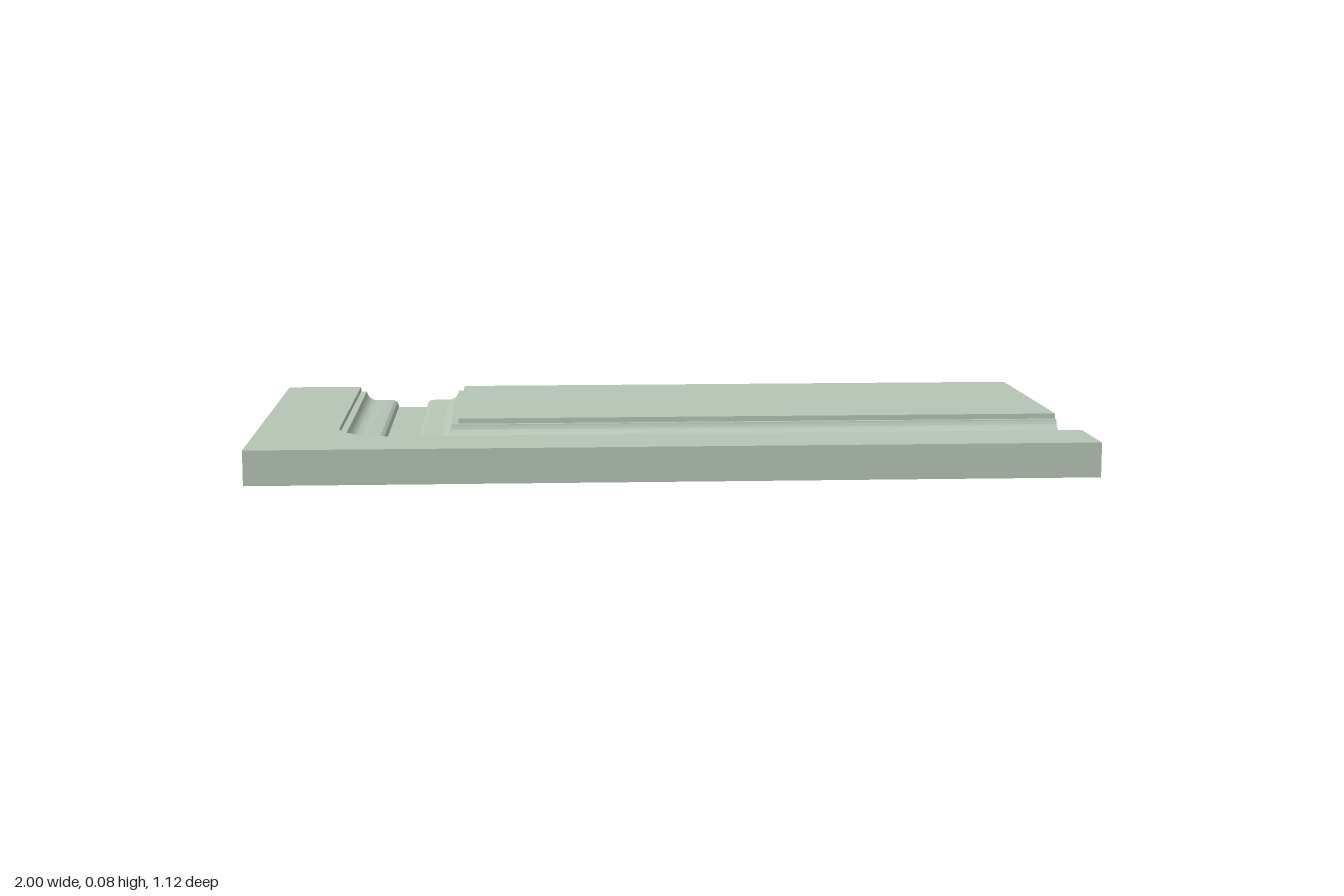
import * as THREE from 'three';
import { toCreasedNormals } from 'three/addons/utils/BufferGeometryUtils.js';

const W = 1, D = 0.559, H = 0.083;      // half width, half depth, thickness
const CX = -0.66, CZ = 0.219, R = 0.143; // corner of the groove path, half groove width

// Half cutter profile, rim to centre: small step, cove, round-over, flat floor
function halfProfile() {
  const pts = [[R, H], [R, 0.07], [0.127, 0.07]];
  const n = 8;
  for (let i = 1; i <= n; i++) {
    const a = (i / n) * Math.PI / 2;
    pts.push([0.097 + 0.03 * Math.cos(a), 0.07 - 0.025 * Math.sin(a)]);
  }
  for (let i = 0; i <= n; i++) {
    const a = (i / n) * Math.PI / 2;
    pts.push([0.056 - 0.016 * Math.sin(a), 0.029 + 0.016 * Math.cos(a)]);
  }
  pts.push([0.04, 0.025]);
  return pts;
}

const half = halfProfile();
const profile = [...half, ...half.slice().reverse().map(([s, y]) => [-s, y])];

// Plan position at offset s: the outer side turns in an arc, the inner side is mitred
const ARC = 20, LAST = ARC + 2;
function planPoint(i, s) {
  if (i === 0) return [W, CZ + s];
  if (i === LAST) return [CX - s, -D];
  if (s < 0) return [CX - s, CZ + s];
  const a = ((i - 1) / ARC) * Math.PI / 2;
  return [CX - s * Math.sin(a), CZ + s * Math.cos(a)];
}

// Groove surface swept along the L-shaped path
function grooveGeometry() {
  const pos = [], index = [], n = profile.length;
  for (let i = 0; i <= LAST; i++) {
    for (const [s, y] of profile) {
      const [x, z] = planPoint(i, s);
      pos.push(x, y, z);
    }
  }
  for (let i = 0; i < LAST; i++) {
    for (let j = 0; j < n - 1; j++) {
      const inArc = i > 0 && i < LAST - 1;
      if (inArc && profile[j][0] < 0) continue;
      const a = i * n + j, b = a + n;
      index.push(a, a + 1, b);
      if (!(inArc && profile[j + 1][0] < 0)) index.push(b, a + 1, b + 1);
    }
  }
  const g = new THREE.BufferGeometry();
  g.setAttribute('position', new THREE.Float32BufferAttribute(pos, 3));
  g.setIndex(index);
  return toCreasedNormals(g, 0.6);
}

// Flat face from a 2D outline
function face(points) {
  return new THREE.ShapeGeometry(new THREE.Shape(points.map(([x, y]) => new THREE.Vector2(x, y))));
}
const rect = (w, h) => face([[-w, 0], [w, 0], [w, h], [-w, h]]);

export function createModel() {
  const group = new THREE.Group();
  group.name = 'routedPanel';
  const material = new THREE.MeshStandardMaterial({ color: 0xb6c5b6 });
  const add = (name, geometry) => {
    const mesh = new THREE.Mesh(geometry, material);
    mesh.name = name;
    group.add(mesh);
  };

  add('groove', grooveGeometry());

  // Top surfaces on either side of the groove
  const rim = [];
  for (let i = 0; i <= LAST; i++) rim.push(planPoint(i, R));
  const flat = (pts) => face(pts.map(([x, z]) => [x, -z])).rotateX(-Math.PI / 2).translate(0, H, 0);
  add('outerTop', flat([[-W, -D], [-W, D], [W, D], ...rim]));
  add('innerTop', flat([[CX + R, -D], [CX + R, CZ - R], [W, CZ - R], [W, -D]]));

  // Ends where the groove runs out, cut to its profile
  const rightCut = profile.map(([s, y]) => [-(CZ + s), y]).reverse();
  add('grooveEndSide', face([[-D, 0], [D, 0], [D, H], ...rightCut, [-D, H]])
    .rotateY(Math.PI / 2).translate(W, 0, 0));
  const backCut = profile.map(([s, y]) => [s - CX, y]);
  add('grooveEndBack', face([[-W, 0], [W, 0], [W, H], ...backCut, [-W, H]])
    .rotateY(Math.PI).translate(0, 0, -D));

  // Plain edges and underside
  add('frontEdge', rect(W, H).translate(0, 0, D));
  add('sideEdge', rect(D, H).rotateY(-Math.PI / 2).translate(-W, 0, 0));
  add('underside', rect(W, 2 * D).translate(0, -D, 0).rotateX(Math.PI / 2));

  return group;
}
